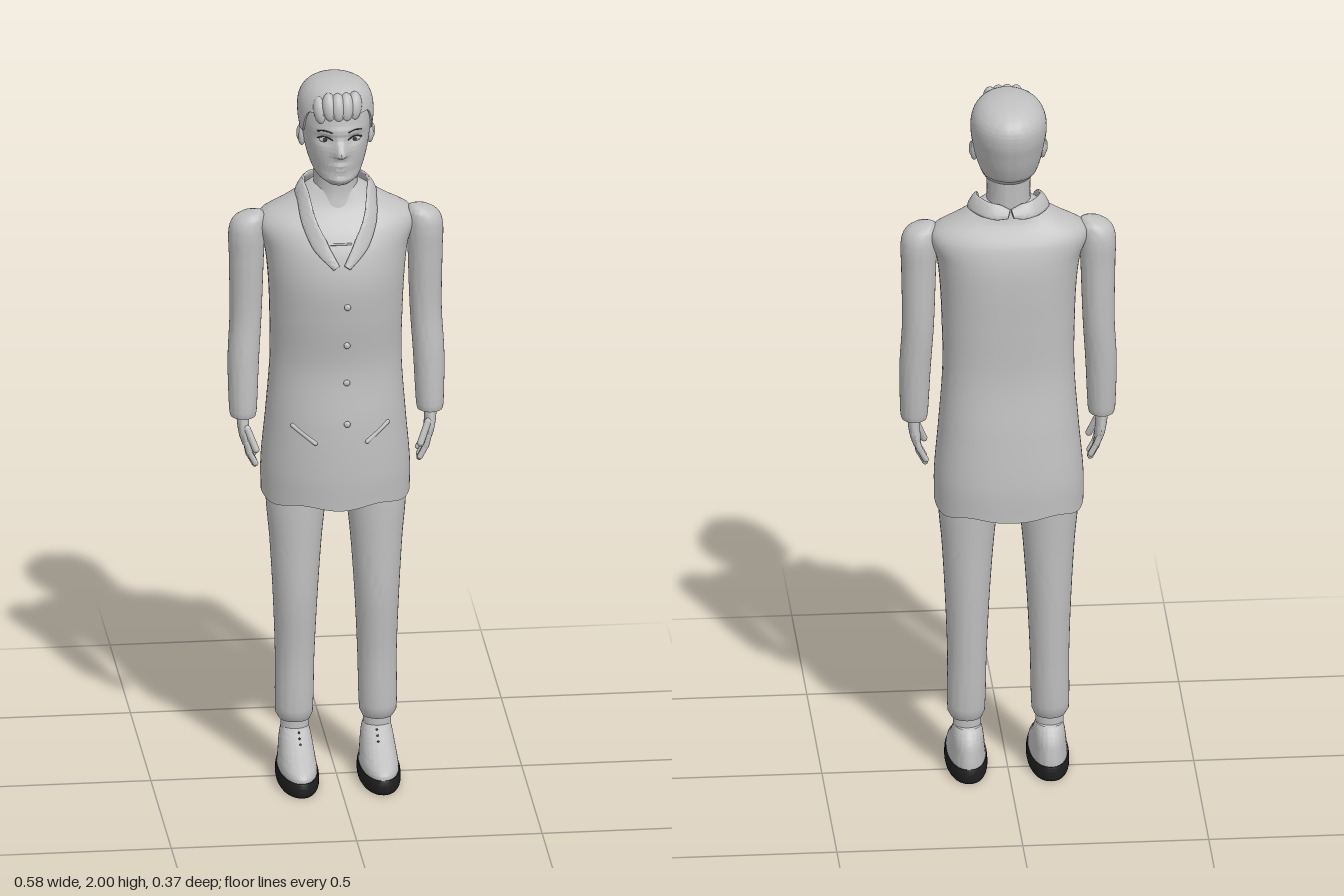
import * as THREE from 'three';
import { toCreasedNormals } from 'three/addons/utils/BufferGeometryUtils.js';

const paint = (name, color) => {
  const m = new THREE.MeshStandardMaterial({ color, side: THREE.DoubleSide });
  m.name = name;
  return m;
};
const V = (x, y, z) => new THREE.Vector3(x, y, z);

// Closed-ring surface: fn(v, angle) gives a point; ends are capped on request
function surface(fn, seg, steps, capStart = true, capEnd = true) {
  const pos = [], idx = [];
  for (let i = 0; i <= steps; i++)
    for (let j = 0; j < seg; j++) pos.push(...fn(i / steps, (j / seg) * Math.PI * 2));
  const at = (i, j) => i * seg + (j % seg);
  for (let i = 0; i < steps; i++)
    for (let j = 0; j < seg; j++)
      idx.push(at(i, j), at(i + 1, j), at(i, j + 1), at(i + 1, j), at(i + 1, j + 1), at(i, j + 1));
  const cap = (i, flip) => {
    const c = [0, 0, 0], n = pos.length / 3;
    for (let j = 0; j < seg; j++) for (let k = 0; k < 3; k++) c[k] += pos[at(i, j) * 3 + k] / seg;
    pos.push(...c);
    for (let j = 0; j < seg; j++) idx.push(n, at(i, j + (flip ? 1 : 0)), at(i, j + (flip ? 0 : 1)));
  };
  if (capStart) cap(0, false);
  if (capEnd) cap(steps, true);
  const g = new THREE.BufferGeometry();
  g.setAttribute('position', new THREE.Float32BufferAttribute(pos, 3));
  g.setIndex(idx);
  return toCreasedNormals(g, 0.9);
}

// Smooth section [y, centreX, halfWidth, backZ, frontZ] at any height
function section(rows, y) {
  let i = 0;
  while (i < rows.length - 2 && y > rows[i + 1][0]) i++;
  const slope = (k, c) => {
    const a = rows[Math.max(k - 1, 0)], b = rows[Math.min(k + 1, rows.length - 1)];
    return (b[c] - a[c]) / (b[0] - a[0]);
  };
  const h = rows[i + 1][0] - rows[i][0], t = (y - rows[i][0]) / h, t2 = t * t, t3 = t2 * t;
  return [1, 2, 3, 4].map(c => rows[i][c] * (2 * t3 - 3 * t2 + 1) + rows[i + 1][c] * (3 * t2 - 2 * t3)
    + h * (slope(i, c) * (t3 - 2 * t2 + t) + slope(i + 1, c) * (t3 - t2)));
}
const bend = (v, n) => Math.sign(v) * Math.abs(v) ** (2 / n);
function ringPoint(rows, y, a, nBack = 2, nFront = 2) {
  const [cx, rx, zb, zf] = section(rows, y), n = Math.sin(a) < 0 ? nBack : nFront;
  return [cx + rx * bend(Math.cos(a), n), y, (zb + zf) / 2 + ((zf - zb) / 2) * bend(Math.sin(a), n)];
}
function loft(rows, seg, steps, nBack = 2, nFront = 2) {
  const y0 = rows[0][0], y1 = rows[rows.length - 1][0];
  return surface((v, a) => ringPoint(rows, y0 + (y1 - y0) * v, a, nBack, nFront), seg, steps);
}
// Front surface depth of a lofted part
const frontZ = (rows, x, y) => ringPoint(rows, y, Math.acos(x / section(rows, y)[1]))[2];

const COAT = [[.81, 0, .2, -.18, .13], [.9, 0, .2, -.18, .134], [1.04, 0, .188, -.166, .13], [1.2, 0, .177, -.146, .117],
  [1.35, 0, .179, -.145, .134], [1.45, 0, .184, -.146, .14], [1.53, 0, .194, -.142, .125], [1.59, 0, .213, -.128, .095],
  [1.62, 0, .2, -.112, .072], [1.65, 0, .145, -.095, .052], [1.68, 0, .095, -.086, .04], [1.7, 0, .062, -.08, .034]];
const HEAD = [[1.728, 0, .032, .01, .09], [1.745, 0, .056, -.05, .108], [1.77, 0, .071, -.095, .106], [1.81, 0, .083, -.12, .109],
  [1.86, 0, .092, -.138, .108], [1.9, 0, .097, -.149, .104], [1.94, 0, .094, -.147, .094], [1.97, 0, .078, -.122, .076],
  [1.988, 0, .05, -.083, .045], [1.996, 0, .012, -.035, .002]];
const ARM = [[1.045, .252, .034, -.038, .043], [1.06, .252, .037, -.042, .046], [1.2, .25, .042, -.055, .04], [1.33, .243, .043, -.064, .032],
  [1.5, .241, .047, -.066, .038], [1.57, .24, .049, -.066, .04], [1.605, .234, .043, -.056, .033], [1.622, .222, .028, -.04, .02],
  [1.628, .212, .01, -.02, .0]];
const LEG = [[.165, .112, .042, -.055, .035], [.18, .113, .05, -.064, .045], [.35, .111, .053, -.074, .05], [.52, .11, .06, -.082, .064],
  [.68, .109, .07, -.087, .066], [.8, .108, .081, -.092, .066], [1, .1, .09, -.1, .06]];
const SHOE = [[.035, .11, .052, -.1, .178], [.055, .11, .051, -.099, .174], [.07, .11, .049, -.097, .152], [.1, .11, .045, -.091, .096],
  [.125, .11, .041, -.078, .056], [.143, .11, .036, -.062, .03]];
const SOLE = [[0, .11, .052, -.1, .176], [.008, .11, .056, -.105, .184], [.034, .11, .056, -.105, .184], [.042, .11, .054, -.102, .18]];

export function createModel() {
  const model = new THREE.Group();
  model.name = 'standingFigure';
  const grey = paint('plainGrey', 0xc0c0c0), black = paint('soleBlack', 0x202020), dark = paint('eyeDark', 0x3a3a3a);

  const add = (name, geo, mat = grey, parent = model) => {
    const m = new THREE.Mesh(geo, mat);
    m.name = name;
    parent.add(m);
    return m;
  };
  const blob = (name, p, r, mat = grey, parent = model) => {
    const m = add(name, new THREE.SphereGeometry(1, 20, 14), mat, parent);
    m.position.set(...p);
    m.scale.set(...r);
    return m;
  };
  const rod = (name, a, b, r, mat = grey, parent = model) => {
    const p = V(...a), q = V(...b), d = q.clone().sub(p);
    const m = add(name, new THREE.CapsuleGeometry(r, d.length(), 5, 10), mat, parent);
    m.position.copy(p).add(q).multiplyScalar(.5);
    m.quaternion.setFromUnitVectors(V(0, 1, 0), d.normalize());
    return m;
  };

  // Long coat with a gently waved open hem
  add('coat', surface((v, a) => {
    const p = ringPoint(COAT, .81 + .89 * v, a, 2.5, 2.05);
    p[1] += .006 * Math.cos(6 * a) * Math.max(0, 1 - v * 12);
    return p;
  }, 72, 80, false, true));
  [1.395, 1.28, 1.17, 1.055].forEach(y =>
    blob('button', [.015, y, frontZ(COAT, .015, y) + .004], [.009, .009, .006]));
  for (const s of [-1, 1])
    rod('pocket', [s * .128, 1.043, frontZ(COAT, .128, 1.043) + .002], [s * .07, 1, frontZ(COAT, .07, 1) + .002], .006);

  // Neck
  add('neck', loft([[1.64, 0, .075, -.085, .055], [1.69, 0, .06, -.086, .045], [1.79, 0, .06, -.09, .05]], 40, 14));

  // Head with modelled brow, sockets, nose, lips and chin
  const bell = (d, w) => Math.exp(-((d / w) ** 2));
  const facePoint = (y, a) => {
    const p = ringPoint(HEAD, y, a);
    if (Math.sin(a) > 0) {
      const x = p[0], ramp = y > 1.822 ? Math.max(0, 1 - (y - 1.822) / .045) : Math.max(0, 1 - (1.822 - y) / .014);
      p[2] += .03 * ramp * bell(x, .012 + .004 * ramp)
        - .011 * bell(Math.abs(x) - .04, .02) * bell(y - 1.86, .014)
        + .004 * bell(y - 1.885, .01) * bell(x, .06)
        + .006 * bell(x, .024) * (bell(y - 1.789, .006) + bell(y - 1.775, .006))
        + .004 * bell(x, .025) * bell(y - 1.745, .012);
    }
    return p;
  };
  const faceZ = (x, y) => facePoint(y, Math.acos(x / section(HEAD, y)[1]))[2];
  add('head', surface((v, a) => facePoint(1.728 + .268 * v, a), 96, 72));

  // Hair cap following the skull above a hairline
  add('hair', surface((v, a) => {
    const line = 1.775 + .085 * THREE.MathUtils.smoothstep(Math.sin(a), -.6, .1)
      + .068 * THREE.MathUtils.smoothstep(Math.sin(a), .25, .65);
    const y = line + (1.996 - line) * v, p = ringPoint(HEAD, y, a), k = v === 0 ? .95 : 1.05;
    return [p[0] * k, y + .004 * v, (p[2] + .02) * k - .02];
  }, 72, 40));
  // Swept fringe built from overlapping locks
  for (let i = 0; i < 5; i++) {
    const x = -.048 + i * .022;
    const lock = blob('fringeLock', [x, 1.947 - (i === 0 ? .012 : 0), .081 - x * x * 7], [.021, .04, .023]);
    lock.rotation.set(-.3, x * 4, -x * 3);
  }

  for (const s of [-1, 1]) {
    // Facial features
    const face = new THREE.Group();
    face.name = s > 0 ? 'leftEye' : 'rightEye';
    model.add(face);
    const z = faceZ(.04, 1.86);
    blob('eyeball', [s * .04, 1.86, z - .002], [.016, .008, .006], grey, face);
    blob('iris', [s * .04, 1.86, z + .003], [.006, .006, .002], dark, face);
    const arc = (name, y, lift, r, out) => add(name, new THREE.TubeGeometry(new THREE.CatmullRomCurve3(
      [.021, .04, .06].map((x, i) => V(s * x, y + (i === 1 ? lift : 0), faceZ(x, y) + out))), 12, r, 6), dark, face);
    arc('upperLash', 1.863, .006, .0018, .003);
    arc('eyebrow', 1.884, .005, .0018, .0005);
    const ear = blob('ear', [s * .092, 1.84, -.016], [.011, .032, .017]);
    ear.rotation.x = -.12;
    blob('earHollow', [s * .1, 1.843, -.015], [.006, .02, .009]);

    // Arms, legs and shoes, built on the left and mirrored
    const side = new THREE.Group();
    side.name = s > 0 ? 'leftSide' : 'rightSide';
    side.scale.x = s;
    model.add(side);
    add('sleeve', loft(ARM, 36, 70), grey, side);
    add('palm', loft([[.965, .244, .011, -.022, .038], [.985, .248, .014, -.026, .042], [1.02, .252, .016, -.022, .036],
      [1.07, .253, .018, -.017, .025]], 24, 14), grey, side);
    for (let i = 0; i < 4; i++) {
      const fz = -.016 + i * .0165, drop = [.018, .004, 0, .008][i];
      rod('fingerBase', [.245, .975, fz], [.238, .938 + drop, fz], .0088, grey, side);
      rod('fingerTip', [.238, .938 + drop, fz], [.222, .908 + drop, fz + .001], .008, grey, side);
    }
    rod('thumb', [.244, 1.015, .032], [.222, .96, .048], .0095, grey, side);
    add('trouserLeg', loft(LEG, 40, 50), grey, side);
    add('ankle', new THREE.CylinderGeometry(.038, .038, .08, 28), grey, side).position.set(.111, .155, -.012);
    add('shoe', loft(SHOE, 48, 24, 2.2, 2.1), grey, side);
    add('sole', loft(SOLE, 48, 8, 2.2, 2.1), black, side);
    for (let i = 0; i < 3; i++)
      blob('laceEyelet', [.105, .136 - i * .01, .04 + i * .018], [.003, .003, .003], dark, side);

    // Half collar running into the lapel, a flat ribbon along a curve
    const path = new THREE.CatmullRomCurve3([V(.004, 1.682, -.1), V(.06, 1.69, -.086), V(.093, 1.688, -.03), V(.09, 1.673, .025),
      V(.08, 1.62, .08), V(.052, 1.56, .115), V(.014, 1.508, .14)]);
    add('collarAndLapel', surface((v, a) => {
      const c = path.getPoint(v), t = path.getTangent(v);
      const n = V(c.x, .055, c.z + .02).normalize(), w = t.clone().cross(n).normalize();
      n.crossVectors(w, t).normalize();
      const half = .022 * Math.min(1, .45 + (1 - v) * 3, .6 + v * 5);
      return c.addScaledVector(w, half * bend(Math.cos(a), 2.5)).addScaledVector(n, .003 + .006 * bend(Math.sin(a), 2.5)).toArray();
    }, 20, 48), grey, side);
  }
  // Shirt edge across the open neck
  const shirt = new THREE.CatmullRomCurve3([-.03, 0, .03].map(x => V(x, 1.565, frontZ(COAT, Math.abs(x), 1.565) + .001)));
  add('shirtEdge', new THREE.TubeGeometry(shirt, 12, .003, 6));
  return model;
}
